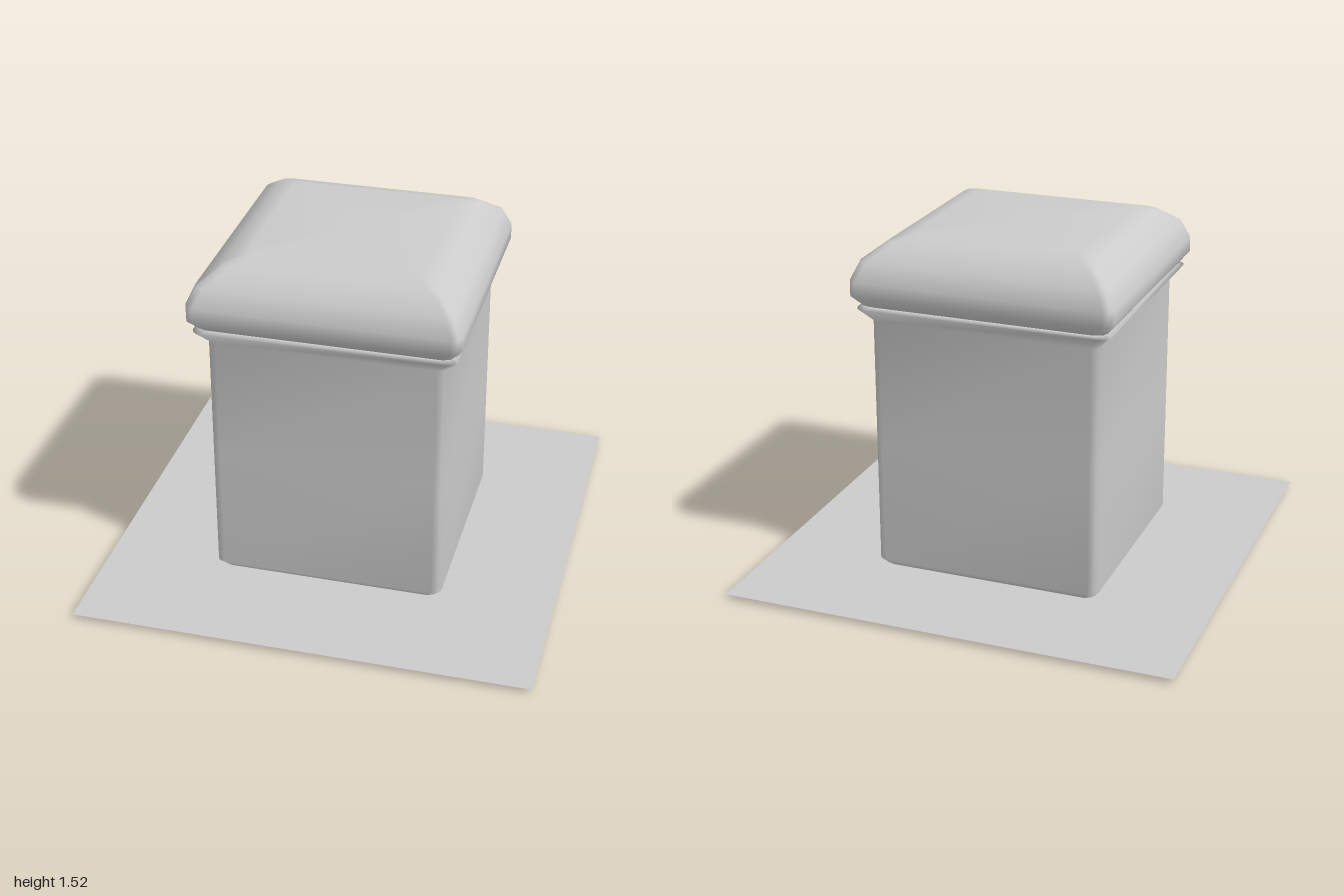
import * as THREE from 'three';

// Outline of a square with rounded corners, counter-clockwise seen from above
function squareRing(half, radius) {
  const points = [];
  for (let corner = 0; corner < 4; corner++) {
    for (let step = 0; step <= 2; step++) {
      const a = (corner + step / 2) * Math.PI / 2;
      const q = (corner + 0.5) * Math.PI / 2;
      points.push([
        Math.sign(Math.cos(q)) * (half - radius) + Math.cos(a) * radius,
        -Math.sign(Math.sin(q)) * (half - radius) - Math.sin(a) * radius,
      ]);
    }
  }
  return points;
}

// Closed solid from [half width, height] rings, listed from bottom to top
function squareLoft(profile, radius) {
  const positions = [], index = [], n = 12;
  for (const [half, y] of profile) {
    for (const [x, z] of squareRing(half, radius)) positions.push(x, y, z);
  }
  for (let r = 0; r < profile.length - 1; r++) {
    for (let i = 0; i < n; i++) {
      const a = r * n + i, b = r * n + (i + 1) % n;
      index.push(a, b, b + n, a, b + n, a + n);
    }
  }
  // Bottom and top faces
  const last = (profile.length - 1) * n, bottom = profile.length * n;
  positions.push(0, profile[0][1], 0, 0, profile[profile.length - 1][1], 0);
  for (let i = 0; i < n; i++) {
    const j = (i + 1) % n;
    index.push(bottom, j, i, bottom + 1, last + i, last + j);
  }
  const geometry = new THREE.BufferGeometry();
  geometry.setAttribute('position', new THREE.Float32BufferAttribute(positions, 3));
  geometry.setIndex(index);
  geometry.computeVertexNormals();
  return geometry;
}

export function createModel() {
  const group = new THREE.Group();
  const grey = new THREE.MeshStandardMaterial({ color: 0xcccccc });
  const add = (name, geometry, material = grey) => {
    const mesh = new THREE.Mesh(geometry, material);
    mesh.name = name;
    group.add(mesh);
    return mesh;
  };

  // Post with a chamfered foot and a flared collar
  add('post', squareLoft([
    [0.47, 0], [0.51, 0.05], [0.51, 0.61], [0.51, 1.165],
    [0.56, 1.225], [0.53, 1.23],
  ], 0.04));

  // Cushion-shaped cap
  add('cap', squareLoft([
    [0.52, 1.228], [0.54, 1.237], [0.58, 1.285], [0.58, 1.35],
    [0.545, 1.43], [0.455, 1.5], [0.37, 1.525],
  ], 0.04));

  // Thin ground slab around the foot
  const slab = add('groundSlab', new THREE.PlaneGeometry(2, 2),
    new THREE.MeshStandardMaterial({ color: 0xcccccc, side: THREE.DoubleSide }));
  slab.rotation.x = -Math.PI / 2;
  slab.position.y = 0.02;

  return group;
}
